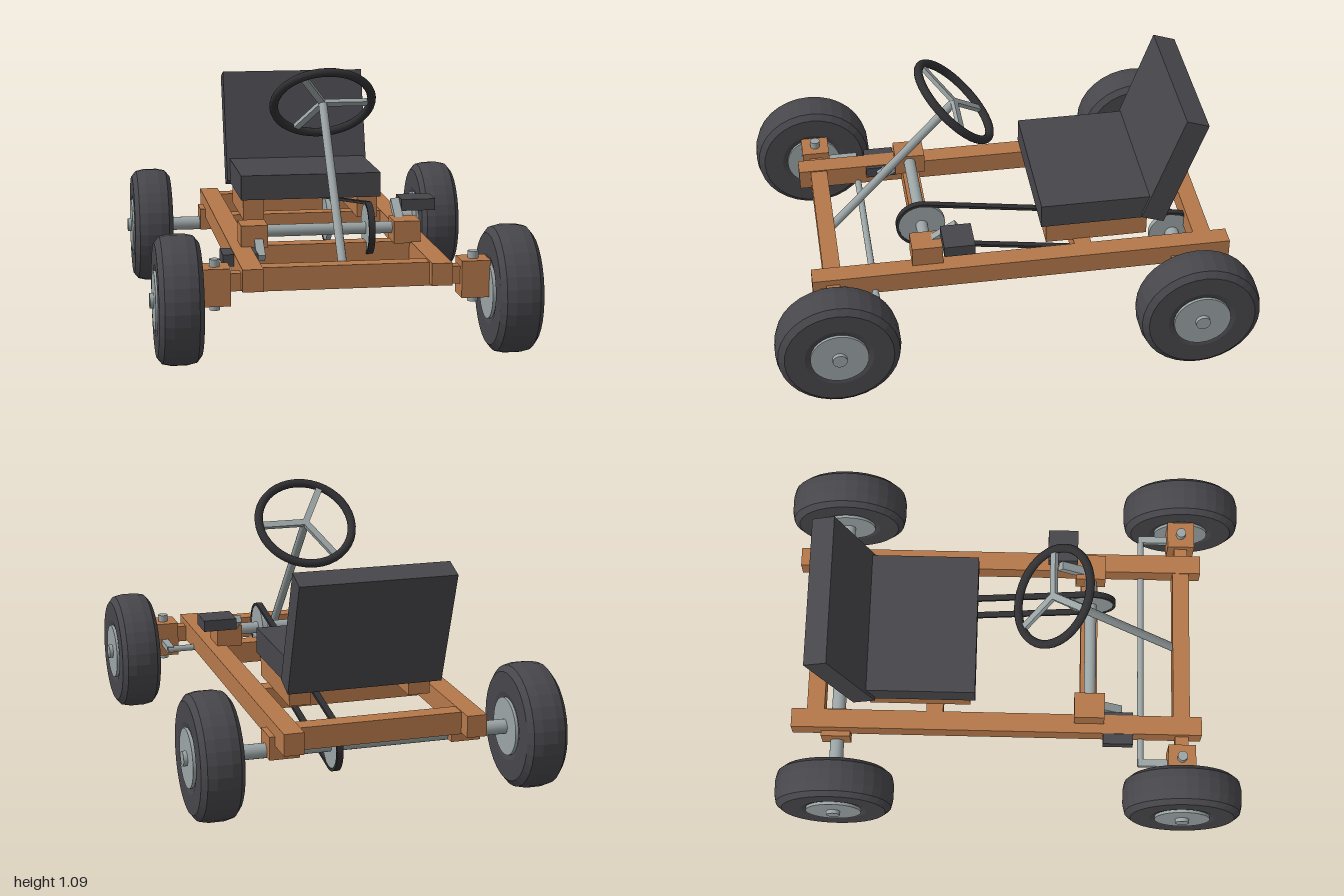
import * as THREE from 'three';

const material = (name, color, flatShading = false) => {
  const m = new THREE.MeshStandardMaterial({ color, flatShading });
  m.name = name;
  return m;
};

export function createModel() {
  const wood = material('wood', 0xb5784a);
  const metal = material('metal', 0x9ba4a5);
  const rubber = material('rubber and padding', 0x47464b, true);
  const black = material('black', 0x303033);
  const kart = new THREE.Group();
  kart.name = 'pedalKart';

  const V = (x, y, z) => new THREE.Vector3(x, y, z);
  const add = (name, geometry, mat, parent = kart) => {
    const mesh = new THREE.Mesh(geometry, mat);
    mesh.name = name;
    parent.add(mesh);
    return mesh;
  };
  // Box given by its extents on each axis
  const block = (name, mat, [x0, x1], [y0, y1], [z0, z1]) => {
    const mesh = add(name, new THREE.BoxGeometry(Math.abs(x1 - x0), y1 - y0, z1 - z0), mat);
    mesh.position.set((x0 + x1) / 2, (y0 + y1) / 2, (z0 + z1) / 2);
    return mesh;
  };
  // Round bar between two points
  const rod = (name, mat, a, b, r, sides = 20, parent = kart) => {
    const dir = b.clone().sub(a);
    const mesh = add(name, new THREE.CylinderGeometry(r, r, dir.length(), sides), mat, parent);
    mesh.position.copy(a).add(b).multiplyScalar(0.5);
    mesh.quaternion.setFromUnitVectors(V(0, 1, 0), dir.normalize());
    return mesh;
  };

  const axleY = 0.255, axleZ = 0.745;
  const crankY = 0.432, crankZ = 0.34;

  // Frame cross members
  const frameY = [0.287, 0.378];
  block('frontCrossMember', wood, [-0.34, 0.34], [0.282, 0.376], [0.7, 0.772]);
  block('pedalCrossMember', wood, [-0.34, 0.34], frameY, [0.3, 0.372]);
  block('seatCrossMember', wood, [-0.34, 0.34], frameY, [-0.358, -0.286]);
  block('rearCrossMember', wood, [-0.34, 0.34], frameY, [-0.87, -0.795]);

  // Wheel profile, turned round its own axle
  const tyreProfile = [
    [0.11, -0.078], [0.14, -0.086], [0.222, -0.086], [0.247, -0.066], [0.255, -0.03],
    [0.255, 0.03], [0.247, 0.066], [0.222, 0.086], [0.14, 0.086], [0.11, 0.078],
  ].map(([r, x]) => new THREE.Vector2(r, x));
  const tyreGeometry = new THREE.LatheGeometry(tyreProfile, 32);
  const rimGeometry = new THREE.CylinderGeometry(0.118, 0.118, 0.184, 32);

  // Mirrored parts
  for (const s of [1, -1]) {
    block('sideRail', wood, [s * 0.33, s * 0.412], [0.292, 0.381], [-0.935, 0.822]);
    block('frontAxleArm', wood, [s * 0.4, s * 0.46], [0.285, 0.355], [0.71, 0.766]);
    block('kingpinBlock', wood, [s * 0.455, s * 0.571], [0.233, 0.381], [0.68, 0.797]);
    rod('kingpin', metal, V(s * 0.512, 0.208, 0.738), V(s * 0.512, 0.41, 0.738), 0.021);
    rod('frontStubAxle', metal, V(s * 0.5, axleY, axleZ), V(s * 0.765, axleY, axleZ), 0.03);
    block('steeringArm', metal, [s * 0.502, s * 0.532], [0.283, 0.309], [0.555, 0.7]);
    block('rearBearingBlock', wood, [s * 0.312, s * 0.435], [0.235, 0.33], [-0.81, -0.685]);
    block('pedalBearingBlock', wood, [s * 0.26, s * 0.37], [0.375, 0.467], [0.275, 0.403]);
    block('seatSupport', wood, [s * 0.205, s * 0.295], [0.375, 0.47], [-0.6, -0.17]);

    // Crank and pedal, opposite on each side
    const pedalY = crankY + s * 0.078, pedalZ = crankZ - s * 0.124;
    const crank = add('crankArm', new THREE.BoxGeometry(0.036, 0.032, 0.17), metal);
    crank.position.set(s * 0.298, (crankY + pedalY) / 2, (crankZ + pedalZ) / 2);
    crank.rotation.x = Math.atan2(0.078, 0.124);
    block('pedal', rubber, [s * 0.315, s * 0.457], [pedalY - 0.024, pedalY + 0.024],
      [pedalZ - 0.064, pedalZ + 0.064]);

    for (const z of [axleZ, -axleZ]) {
      const wheel = new THREE.Group();
      wheel.name = z > 0 ? 'frontWheel' : 'rearWheel';
      add('tyre', tyreGeometry, rubber, wheel);
      add('rim', rimGeometry, metal, wheel);
      wheel.rotation.z = Math.PI / 2;
      wheel.position.set(s * 0.657, axleY, z);
      kart.add(wheel);
    }
  }

  // Axle, pedal shaft and tie rod
  rod('rearAxle', metal, V(-0.765, axleY, -axleZ), V(0.765, axleY, -axleZ), 0.03);
  rod('pedalShaft', metal, V(-0.312, crankY, crankZ), V(0.312, crankY, crankZ), 0.025);
  rod('tieRod', metal, V(-0.53, 0.296, 0.565), V(0.53, 0.296, 0.565), 0.014, 12);

  // Chain drive: a thin closed loop round two equal sprockets
  const driveX = 0.162;
  for (const [y, z] of [[crankY, crankZ], [axleY, -axleZ]])
    rod('sprocket', metal, V(driveX - 0.011, y, z), V(driveX + 0.011, y, z), 0.1, 32);
  const span = Math.hypot(crankZ + axleZ, crankY - axleY);
  const loop = (target, r) => target
    .absarc(span, 0, r, -Math.PI / 2, Math.PI / 2, false)
    .absarc(0, 0, r, Math.PI / 2, Math.PI * 1.5, false)
    .closePath();
  const chainShape = loop(new THREE.Shape(), 0.108);
  chainShape.holes.push(loop(new THREE.Path(), 0.096));
  const chainGeometry = new THREE.ExtrudeGeometry(chainShape,
    { depth: 0.026, bevelEnabled: false, curveSegments: 20 });
  chainGeometry.translate(0, 0, -0.013);
  chainGeometry.rotateZ(Math.atan2(crankY - axleY, crankZ + axleZ));
  chainGeometry.rotateY(-Math.PI / 2);
  add('chain', chainGeometry, black).position.set(driveX, axleY, -axleZ);

  // Seat
  block('seatCushion', rubber, [-0.306, 0.306], [0.468, 0.575], [-0.62, -0.147]);
  const back = add('seatBack', new THREE.BoxGeometry(0.64, 0.505, 0.1), rubber);
  back.position.set(0, 0.702, -0.702);
  back.rotation.x = -0.335;

  // Steering
  rod('steeringColumn', metal, V(0, 0.335, 0.705), V(0, 0.93, 0.172), 0.018, 12);
  const steering = new THREE.Group();
  steering.name = 'steeringWheel';
  steering.position.set(0, 0.93, 0.172);
  steering.rotation.x = -Math.PI / 4;
  add('steeringRim', new THREE.TorusGeometry(0.204, 0.018, 12, 40), black, steering)
    .rotation.x = Math.PI / 2;
  for (let i = 0; i < 3; i++) {
    const a = (i * Math.PI * 2) / 3;
    const spoke = add('spoke', new THREE.BoxGeometry(0.2, 0.018, 0.028), metal, steering);
    spoke.position.set(Math.cos(a) * 0.1, 0, Math.sin(a) * 0.1);
    spoke.rotation.y = -a;
  }
  kart.add(steering);

  return kart;
}
